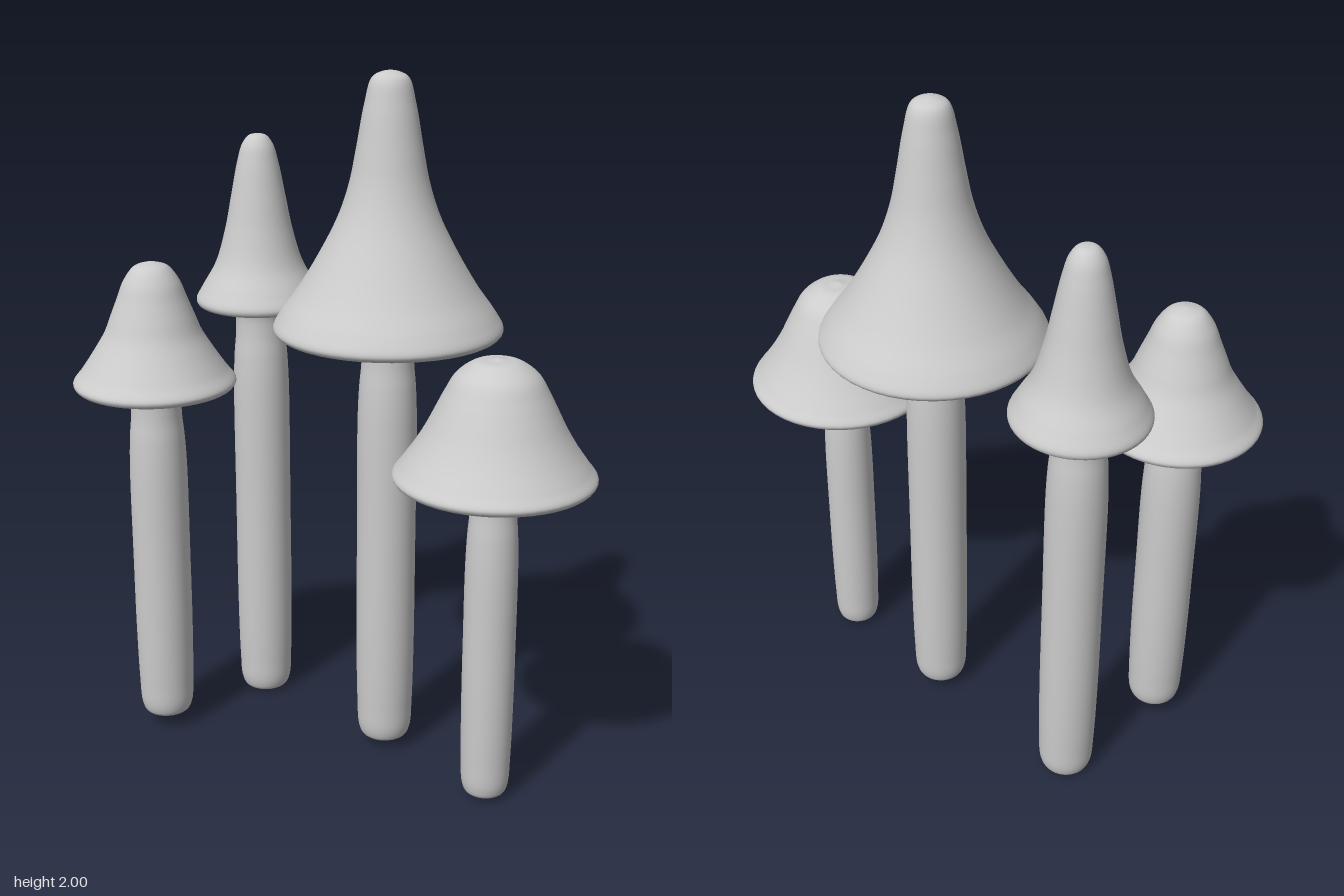
import * as THREE from 'three';

const material = new THREE.MeshStandardMaterial({ color: 0xcccccc });

// Smooth surface of revolution through [radius, height] points, listed from bottom to top
function turned(name, points, steps) {
  const curve = new THREE.CatmullRomCurve3(points.map(([r, y]) => new THREE.Vector3(r, y, 0)), false, 'centripetal');
  const profile = curve.getPoints(steps).map(p => new THREE.Vector2(Math.max(p.x, 0), p.y));
  profile[0].x = 0;
  profile[steps].x = 0;
  const mesh = new THREE.Mesh(new THREE.LatheGeometry(profile, 48), material);
  mesh.name = name;
  return mesh;
}

// Stem with a rounded foot, a slight neck and a flare into the cap
function makeStem(r, base, rim) {
  return turned('stem', [
    [0, base], [r * 0.4, base], [r * 0.76, base + 0.005], [r * 0.9, base + 0.03], [r * 0.96, base + 0.11],
    [r, base + 0.3], [r, (base + rim) / 2], [r * 0.99, rim - 0.25], [r * 0.94, rim - 0.15],
    [r * 0.87, rim - 0.08], [r * 0.9, rim - 0.02], [r * 1.15, rim + 0.02], [r * 1.1, rim + 0.05], [0, rim + 0.06],
  ], 80);
}

// Cap with a shallow hollow underneath and a rolled rim
function makeCap(rim, radius, outer, top) {
  return turned('cap', [
    [0, rim + 0.04], [radius * 0.4, rim + 0.03], [radius * 0.72, rim + 0.01], [radius * 0.9, rim],
    [radius * 0.97, rim + 0.005], [radius, rim + 0.02],
    ...outer, [0.025, top - 0.005], [0, top],
  ], 100);
}

// Outer cap profiles run from above the rim to just below the tip
const mushrooms = [
  { name: 'tallMushroom', x: 0.13, z: -0.03, stem: 0.085, base: 0.03, rim: 1.28, radius: 0.32, top: 2,
    outer: [[0.3, 1.34], [0.25, 1.41], [0.19, 1.51], [0.14, 1.61], [0.11, 1.7], [0.09, 1.8], [0.07, 1.91], [0.05, 1.98]] },
  { name: 'backMushroom', x: -0.36, z: -0.24, stem: 0.085, base: 0, rim: 1.27, radius: 0.19, top: 1.78,
    outer: [[0.17, 1.33], [0.13, 1.4], [0.1, 1.5], [0.08, 1.6], [0.06, 1.7], [0.045, 1.75]] },
  { name: 'rightMushroom', x: -0.54, z: 0.1, stem: 0.085, base: 0.04, rim: 1.085, radius: 0.235, top: 1.455,
    outer: [[0.21, 1.14], [0.17, 1.2], [0.14, 1.25], [0.12, 1.3], [0.1, 1.35], [0.08, 1.4], [0.05, 1.44]] },
  { name: 'leftMushroom', x: 0.5, z: 0.14, stem: 0.073, base: 0.01, rim: 0.95, radius: 0.275, top: 1.295,
    outer: [[0.255, 1], [0.22, 1.05], [0.19, 1.1], [0.165, 1.15], [0.14, 1.2], [0.11, 1.25], [0.06, 1.285]] },
];

export function createModel() {
  const model = new THREE.Group();
  model.name = 'mushroomCluster';
  for (const m of mushrooms) {
    const group = new THREE.Group();
    group.name = m.name;
    group.position.set(m.x, 0, m.z);
    group.add(makeStem(m.stem, m.base, m.rim), makeCap(m.rim, m.radius, m.outer, m.top));
    model.add(group);
  }
  return model;
}
